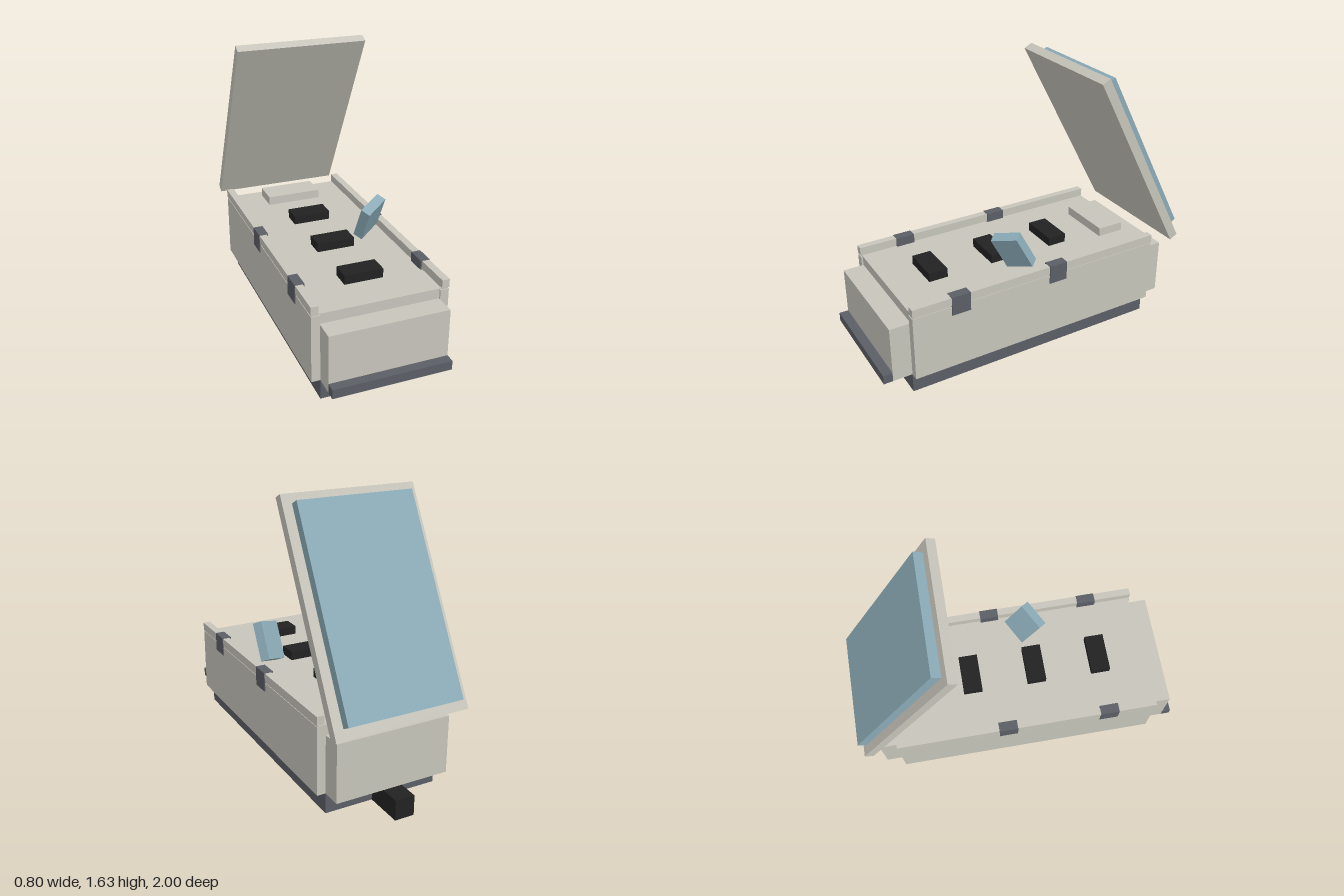
import * as THREE from 'three';

export function createModel() {
  const model = new THREE.Group();
  model.name = 'equipmentCase';

  const material = (name, color) => {
    const m = new THREE.MeshStandardMaterial({ color });
    m.name = name;
    return m;
  };
  const shell = material('warm grey shell', 0xc6c4ba);
  const slate = material('slate grey', 0x5b5e66);
  const black = material('black', 0x222222);
  const blue = material('pale blue', 0x8babb7);

  // Box given by its extents along each axis
  const block = (name, mat, [x0, x1], [y0, y1], [z0, z1], parent = model) => {
    const mesh = new THREE.Mesh(new THREE.BoxGeometry(x1 - x0, y1 - y0, z1 - z0), mat);
    mesh.position.set((x0 + x1) / 2, (y0 + y1) / 2, (z0 + z1) / 2);
    mesh.name = name;
    parent.add(mesh);
    return mesh;
  };

  // Base and main body
  block('base', slate, [-0.345, 0.345], [0, 0.12], [-0.77, 0.83]);
  block('body', shell, [-0.39, 0.39], [0.12, 0.52], [-0.77, 0.82]);

  // End boxes, front bumper and rear hitch
  block('frontBox', shell, [-0.345, 0.345], [0.12, 0.46], [0.82, 0.945]);
  block('rearBox', shell, [-0.345, 0.345], [0.12, 0.46], [-0.885, -0.77]);
  block('frontBumper', slate, [-0.345, 0.345], [0.12, 0.175], [0.945, 1.0]);
  block('rearHitch', black, [-0.058, 0.058], [0, 0.117], [-1.0, -0.77]);

  // Side walls, rails and the clips that wrap over them
  for (const [side, s] of [['left', 1], ['right', -1]]) {
    const span = (a, b) => (s > 0 ? [a, b] : [-b, -a]);
    block(side + 'Wall', shell, span(0.345, 0.395), [0.12, 0.515], [-0.77, 0.83]);
    block(side + 'Rail', shell, span(0.353, 0.397), [0.524, 0.573], [-0.77, 0.83]);
    block(side + 'RailSeat', shell, span(0.357, 0.392), [0.51, 0.53], [-0.765, 0.825]);
    for (const z of [0.54, -0.088]) {
      block(side + 'Clip', slate, span(0.344, 0.4), [0.462, 0.576], [z - 0.057, z + 0.057]);
    }
  }

  // Blocks on the deck
  for (const z of [0.54, 0.137, -0.263]) {
    block('deckBlock', black, [-0.115, 0.115], [0.515, 0.574], [z - 0.058, z + 0.058]);
  }
  block('rearDeckBlock', shell, [-0.172, 0.172], [0.515, 0.574], [-0.71, -0.543]);

  // Raised lid with a blue outer panel
  const tilt = THREE.MathUtils.degToRad(28);
  const lid = new THREE.Group();
  lid.name = 'lid';
  lid.position.set(0, 1.067, -0.653);
  lid.rotation.x = tilt;
  block('lidPlate', shell, [-0.4, 0.4], [-0.628, 0.628], [-0.0275, 0.0275], lid);
  block('lidPanel', blue, [-0.345, 0.345], [-0.573, 0.573], [-0.0835, -0.0275], lid);
  model.add(lid);

  // Small tilted screen standing on the deck
  const screen = block('screen', blue, [-0.086, 0.086], [-0.115, 0.115], [-0.03, 0.03]);
  screen.position.set(0.244, 0.655, 0.122);
  screen.rotation.set(tilt, THREE.MathUtils.degToRad(35), 0);

  return model;
}
